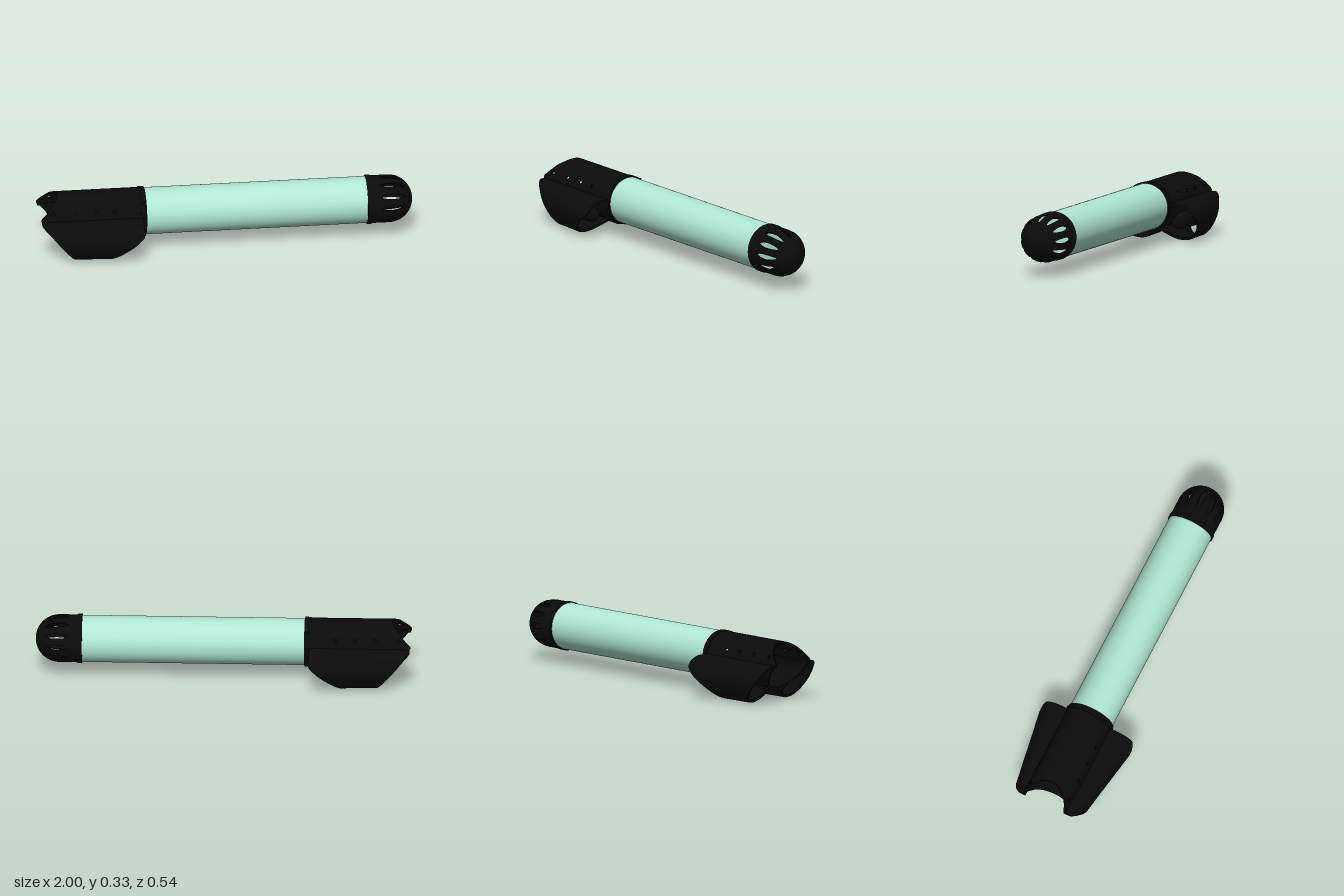
import * as THREE from 'three';
import { toCreasedNormals } from 'three/addons/utils/BufferGeometryUtils.js';

const black = new THREE.MeshStandardMaterial({ color: 0x0b0b0b, side: THREE.DoubleSide });
const mint = new THREE.MeshStandardMaterial({ color: 0xb0e8d4, side: THREE.DoubleSide });
const AXIS = 0.2; // height of the hull axis
const lerp = THREE.MathUtils.lerp;

function add(parent, name, geometry, material = black) {
  const mesh = new THREE.Mesh(geometry, material);
  mesh.name = name;
  parent.add(mesh);
  return mesh;
}

// Closed thick sheet: point(u, v, t) with t = 0 on the outside, 1 on the inside
function sheet(point, nu, nv) {
  const pos = [], idx = [], m = 2 * (nv + 1);
  for (let i = 0; i <= nu; i++) {
    for (let j = 0; j < m; j++) {
      const inner = j > nv;
      pos.push(...point(i / nu, (inner ? m - 1 - j : j) / nv, inner ? 1 : 0));
    }
  }
  const quad = (a, b, c, d) => idx.push(a, b, c, a, c, d);
  for (let i = 0; i < nu; i++) {
    for (let j = 0; j < m; j++) {
      const k = (j + 1) % m;
      quad(i * m + j, i * m + k, (i + 1) * m + k, (i + 1) * m + j);
    }
  }
  for (let j = 0; j < nv; j++) {
    const e = nu * m;
    quad(j, m - 1 - j, m - 2 - j, j + 1);
    quad(e + j, e + j + 1, e + m - 2 - j, e + m - 1 - j);
  }
  const g = new THREE.BufferGeometry();
  g.setAttribute('position', new THREE.Float32BufferAttribute(pos, 3));
  g.setIndex(idx);
  return toCreasedNormals(g, 0.6);
}

// Point on a circle round the hull axis
const around = (x, r, a) => [x, AXIS + r * Math.sin(a), r * Math.cos(a)];

// Lathe profile of [radius, x] points laid along x
function turned(points) {
  const g = new THREE.LatheGeometry(points.map(([r, x]) => new THREE.Vector2(r, x)), 64);
  return toCreasedNormals(g.rotateZ(-Math.PI / 2).translate(0, AXIS, 0), 0.6);
}

// Rear trim line shared by the sleeve and the shrouds
const rearX = (y) => (y > 0.23 ? -1 + (y - 0.23) * 1.03 : -1 + (0.23 - y) * 0.82);

// Nose: twelve ribs with elliptical slots between them
function noseRib(k) {
  const step = Math.PI / 6;
  return sheet((u, v, t) => {
    const R = t ? 0.118 : 0.127;
    const b = Math.max(0, (u - 0.35) / 0.65) * Math.PI / 2;
    const x = u < 0.35 ? lerp(0.755, 0.873, u / 0.35) : 0.873 + R * Math.sin(b);
    const r = Math.max(0.0005, R * Math.cos(b));
    const w = 0.11 * Math.sqrt(Math.max(0, 1 - ((x - 0.89) / 0.063) ** 2));
    return around(x, r, lerp(k * step + w, (k + 1) * step - w, v));
  }, 44, 8);
}

// Tail sleeve panel, with a row of round holes along both edges
function sleevePanel(a0, a1, nv) {
  const holes = [-0.93, -0.81, -0.7, -0.6];
  return sheet((u, v, t) => {
    const R = t ? 0.118 : 0.128;
    const a = lerp(a0, a1, v);
    const x = lerp(rearX(AXIS + 0.128 * Math.sin(a)), -0.43, u);
    let w = 0;
    for (const h of holes) w = Math.max(w, Math.sqrt(Math.max(0, 0.01 ** 2 - (x - h) ** 2)) / R);
    return around(x, R, lerp(a0 + w, a1 - w, v));
  }, 120, nv);
}

// Curved thruster shroud: a hooked section that narrows toward the tail
function shroud() {
  const section = [[0.1, 0.22], [0.15, 0.22], [0.19, 0.218], [0.24, 0.193], [0.27, 0.13], [0.247, 0.062],
    [0.195, 0.016], [0.13, 0.001], [0.075, 0.009], [0.03, 0.034], [0.001, 0.062], [0.001, 0.085]];
  const curve = new THREE.CatmullRomCurve3(section.map(([z, y]) => new THREE.Vector3(0, y, z)), false, 'centripetal');
  return sheet((u, v, t) => {
    const p = curve.getPoint(v);
    const d = curve.getTangent(v);
    const x = lerp(rearX(p.y), Math.min(-0.455, -0.64 + 1.1 * p.y), u);
    const k = lerp(1, 0.52, THREE.MathUtils.clamp((-0.5 - x) / 0.42, 0, 1.1));
    const th = t * 0.013;
    return [x, p.y + d.z * -th, 0.125 + (p.z - 0.125) * k + d.y * th];
  }, 30, 56);
}

export function createModel() {
  const model = new THREE.Group();
  model.name = 'underwaterVehicle';

  // Main pressure tube
  add(model, 'hullTube', turned([[0, -0.44], [0.125, -0.44], [0.125, 0.765], [0, 0.765]]), mint);

  // Slotted nose
  const nose = new THREE.Group();
  nose.name = 'nose';
  model.add(nose);
  for (let k = 0; k < 12; k++) add(nose, 'noseRib', noseRib(k));
  add(nose, 'noseCollar', turned([[0.12, 0.752], [0.131, 0.752], [0.131, 0.775], [0.127, 0.782]]));

  // Tail sleeve
  const tail = new THREE.Group();
  tail.name = 'tail';
  model.add(tail);
  const h = Math.asin(0.06 / 0.128);
  add(tail, 'upperSleeve', sleevePanel(h, Math.PI - h, 28));
  add(tail, 'lowerSleeve', sleevePanel(Math.PI - h, 2 * Math.PI + h, 44));
  add(tail, 'tailCollar', turned([[0.12, -0.462], [0.132, -0.462], [0.132, -0.432], [0.12, -0.432]]));

  // Shroud, thruster, strut and bolts on each side
  const shroudGeometry = shroud();
  for (const side of [1, -1]) {
    const pod = new THREE.Group();
    pod.name = side > 0 ? 'leftPod' : 'rightPod';
    pod.scale.z = side;
    tail.add(pod);
    add(pod, 'shroud', shroudGeometry);

    const motor = add(pod, 'motor', new THREE.CapsuleGeometry(0.045, 0.16, 10, 28));
    motor.rotation.set(0, 0.1, Math.PI / 2);
    motor.position.set(-0.68, 0.111, 0.124);
    const strut = add(pod, 'strut', new THREE.CylinderGeometry(0.018, 0.018, 0.08, 16));
    strut.rotation.x = -0.8;
    strut.position.set(-0.68, 0.13, 0.102);

    for (const a of [-0.14, 0.14, 0.8]) {
      const bolt = add(pod, 'bolt', new THREE.SphereGeometry(0.009, 12, 8));
      bolt.position.set(...around(-0.447, 0.13, a));
    }
  }
  return model;
}
